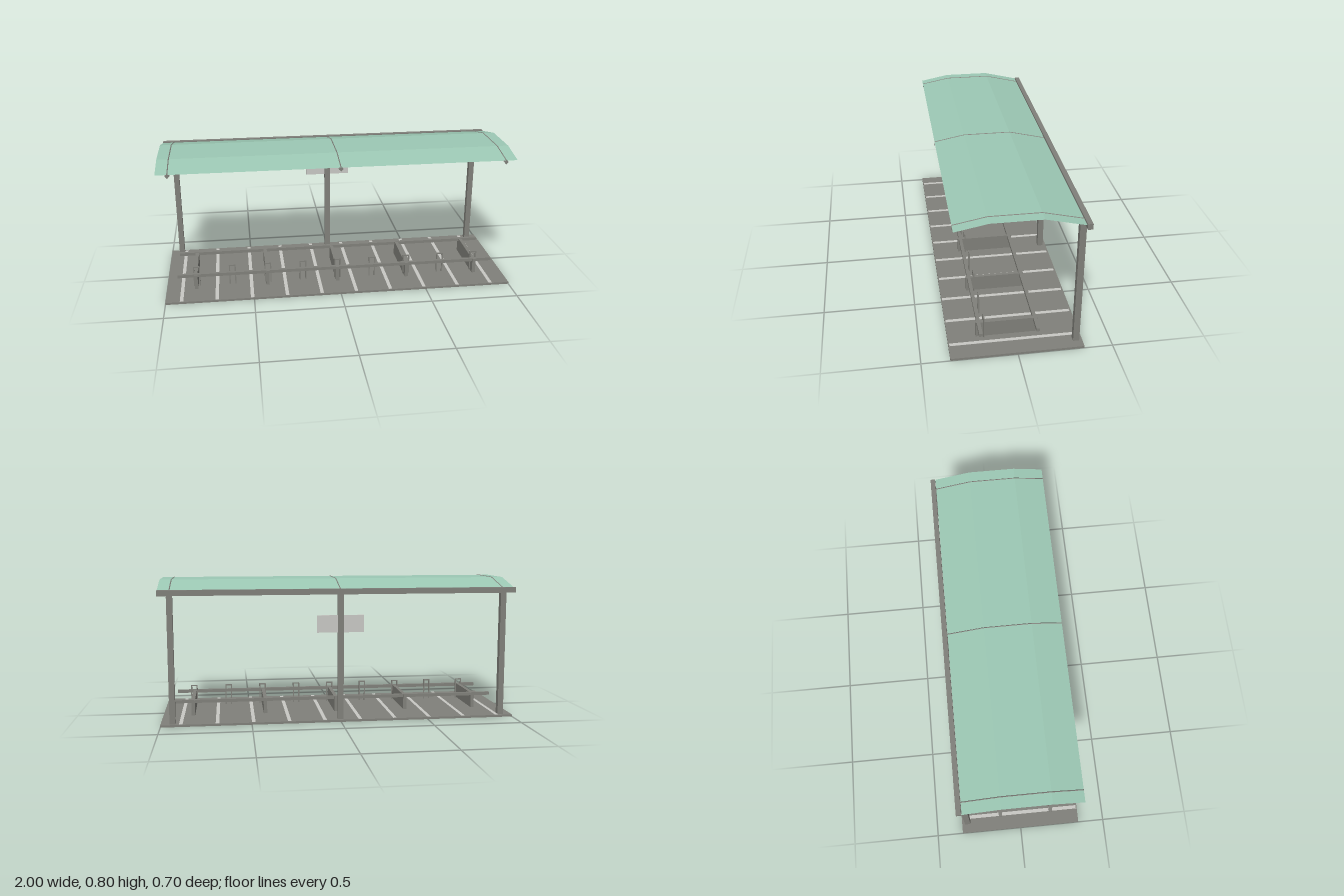
import * as THREE from 'three';

const steel = new THREE.MeshStandardMaterial({ color: 0x80807a });
steel.name = 'grey steel';
const glass = new THREE.MeshStandardMaterial({ color: 0x9cc8b4, side: THREE.DoubleSide });
glass.name = 'green roof sheet';
const pale = new THREE.MeshStandardMaterial({ color: 0xc8c8c4 });
pale.name = 'pale grey';

// Roof arc as [z, y], front to back
const ARC = [[0.32, 0.7525], [0.15, 0.785], [-0.115, 0.785], [-0.32, 0.736]];
const RIB = 0.0125;

function box(parent, name, mat, size, pos) {
  const mesh = new THREE.Mesh(new THREE.BoxGeometry(...size), mat);
  mesh.name = name;
  mesh.position.set(...pos);
  parent.add(mesh);
  return mesh;
}

// Rib with a diamond section swept along the roof arc
function ribGeometry() {
  const pos = [], idx = [];
  for (const [z, y] of ARC) {
    pos.push(RIB, y, z, 0, y + RIB, z, -RIB, y, z, 0, y - RIB, z);
  }
  for (let s = 0; s < ARC.length - 1; s++) {
    for (let k = 0; k < 4; k++) {
      const a = s * 4 + k, b = s * 4 + (k + 1) % 4;
      idx.push(a, a + 4, b, b, a + 4, b + 4);
    }
  }
  const e = (ARC.length - 1) * 4;
  idx.push(0, 1, 2, 0, 2, 3, e, e + 2, e + 1, e, e + 3, e + 2);
  const g = new THREE.BufferGeometry();
  g.setAttribute('position', new THREE.Float32BufferAttribute(pos, 3));
  g.setIndex(idx);
  const flat = g.toNonIndexed();
  flat.computeVertexNormals();
  return flat;
}

// Folded sheet that lies just under the rib ridges
function sheetGeometry() {
  const g = new THREE.PlaneGeometry(2, 1, 1, ARC.length - 1);
  const p = g.attributes.position;
  for (let i = 0; i < p.count; i++) {
    const [z, y] = ARC[ARC.length - 1 - Math.floor(i / 2)];
    p.setXYZ(i, p.getX(i), y + RIB - 0.003, z);
  }
  const flat = g.toNonIndexed();
  flat.computeVertexNormals();
  return flat;
}

// Narrow locking hoop
function hoop(x) {
  const g = new THREE.Group();
  g.name = 'lockingHoop';
  const t = 0.007, w = 0.04, top = 0.135;
  for (const s of [-1, 1]) {
    box(g, 'hoopLeg', steel, [t, top - 0.012, t], [s * (w - t) / 2, (top + 0.012) / 2, 0]);
  }
  box(g, 'hoopTop', steel, [w - 2 * t, t, t], [0, top - t / 2, 0]);
  g.position.set(x, 0, 0.157);
  return g;
}

export function createModel() {
  const model = new THREE.Group();
  model.name = 'bicycleShelter';

  // Floor slab and bay markings
  box(model, 'floorSlab', steel, [2, 0.012, 0.7], [0, 0.006, 0]);
  for (let i = 0; i < 10; i++) {
    box(model, 'bayMarking', pale, [0.02, 0.002, 0.685], [-0.91 + 0.2 * i, 0.0125, 0.002]);
  }

  // Posts and roof ribs
  const rib = ribGeometry();
  for (const x of [-0.935, 0, 0.935]) {
    box(model, 'post', steel, [0.032, 0.723, 0.033], [x, 0.3735, -0.3165]);
    const r = new THREE.Mesh(rib, steel);
    r.name = 'roofRib';
    r.position.x = x;
    model.add(r);
  }

  // Roof sheet and rear beam
  const sheet = new THREE.Mesh(sheetGeometry(), glass);
  sheet.name = 'roofSheet';
  model.add(sheet);
  box(model, 'rearBeam', steel, [2, 0.031, 0.027], [0, 0.7345, -0.3365]);

  // Sign panel and ceiling lamp
  box(model, 'signPanel', pale, [0.264, 0.097, 0.006], [0, 0.553, -0.3165]);
  box(model, 'ceilingLamp', pale, [0.22, 0.008, 0.034], [0, 0.766, 0.067]);

  // Rack: two rails, five dividers, nine hoops
  for (const z of [0.184, -0.116]) {
    box(model, 'rackRail', steel, [1.87, 0.018, 0.019], [0, 0.093, z]);
  }
  for (let i = -2; i <= 2; i++) {
    box(model, 'rackDivider', steel, [0.02, 0.088, 0.33], [i * 0.415, 0.056, 0.035]);
  }
  for (let i = -4; i <= 4; i++) model.add(hoop(0.004 + i * 0.2075));

  return model;
}
